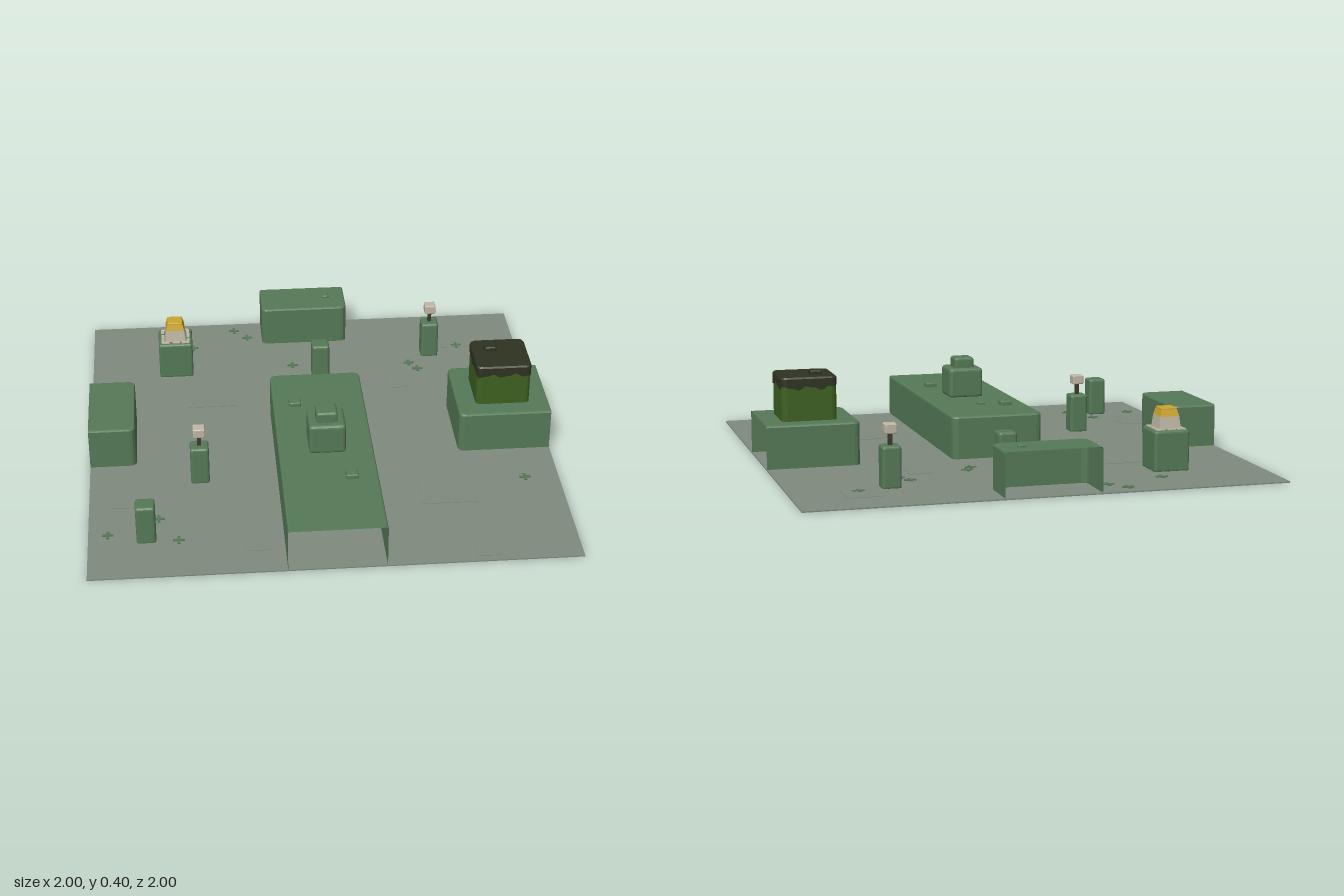
import * as THREE from 'three';
import { RoundedBoxGeometry } from 'three/addons/geometries/RoundedBoxGeometry.js';

const paint = (name, color) => {
  const m = new THREE.MeshStandardMaterial({ color, flatShading: true, side: THREE.DoubleSide });
  m.name = name;
  return m;
};

// Plan outline, counter-clockwise from above; an open outline has no wall at +z
function outline(w, d, r, inset = 0, open = false) {
  const hx = w / 2 - inset, hz = d / 2 - inset, pts = [];
  const corner = (sx, sz, start) => {
    for (let i = 0; i <= 3; i++) {
      const a = start + (i / 3) * Math.PI / 2;
      pts.push([sx * (hx - r) + r * Math.cos(a), sz * (hz - r) - r * Math.sin(a)]);
    }
  };
  if (open) pts.push([hx, d / 2]);
  corner(1, -1, 0);
  corner(-1, -1, Math.PI / 2);
  if (open) pts.push([-hx, d / 2]);
  else {
    corner(-1, 1, Math.PI);
    corner(1, 1, Math.PI * 1.5);
    pts.push(pts[0]);
  }
  return pts;
}

// Adds points along the straight sides
function subdivide(pts, step) {
  const out = [];
  for (let i = 0; i < pts.length - 1; i++) {
    const [a, b] = [pts[i], pts[i + 1]];
    const n = Math.max(1, Math.round(Math.hypot(b[0] - a[0], b[1] - a[1]) / step));
    for (let k = 0; k < n; k++) out.push([a[0] + (b[0] - a[0]) * k / n, a[1] + (b[1] - a[1]) * k / n]);
  }
  out.push(pts[pts.length - 1]);
  return out;
}

// Walls through the rings, with a flat cap on the last one
function shell(rings) {
  const v = [], last = rings[rings.length - 1];
  for (let k = 0; k < rings.length - 1; k++) {
    for (let i = 0; i < last.length - 1; i++) {
      const a = rings[k][i], b = rings[k][i + 1], c = rings[k + 1][i + 1], d = rings[k + 1][i];
      v.push(...a, ...b, ...c, ...a, ...c, ...d);
    }
  }
  const mid = [0, last[0][1], 0];
  last.forEach((p, i) => v.push(...mid, ...p, ...last[(i + 1) % last.length]));
  const g = new THREE.BufferGeometry();
  g.setAttribute('position', new THREE.Float32BufferAttribute(v, 3));
  g.computeVertexNormals();
  return g;
}
const atHeight = (pts, y) => pts.map(([x, z]) => [x, y, z]);

export function createModel() {
  const model = new THREE.Group();
  const stone = paint('ground grey', 0x7f8a7d);
  const green = paint('block green', 0x557a57);
  const moss = paint('moss green', 0x3e6121);
  const dark = paint('dark olive', 0x2e3322);
  const pale = paint('pale stone', 0xc0b8a6);
  const yellow = paint('yellow', 0xc9a62c);
  const brown = paint('stem brown', 0x40382c);

  const add = (name, geo, mat, x, y, z, parent = model) => {
    const m = new THREE.Mesh(geo, mat);
    m.name = name;
    m.position.set(x, y, z);
    parent.add(m);
    return m;
  };
  // Soft-edged box standing on y
  const block = (name, mat, x, y, z, w, h, d = w, r = 0.01, parent = model) =>
    add(name, new RoundedBoxGeometry(w, h, d, 2, Math.min(r, h * 0.4)), mat, x, y + h / 2, z, parent);
  // Square tapered block standing on y
  const taper = (name, mat, x, y, z, bottom, top, h) => {
    const g = new THREE.CylinderGeometry(top / Math.SQRT2, bottom / Math.SQRT2, h, 4);
    g.rotateY(Math.PI / 4);
    return add(name, g, mat, x, y + h / 2, z);
  };

  // Ground and its faint paving slabs
  const ground = new THREE.PlaneGeometry(2, 2);
  ground.rotateX(-Math.PI / 2);
  add('ground', ground, stone, 0, 0.006, 0);
  for (const [x, z, s] of [[0.51, 0.47, 0.24], [-0.46, -0.36, 0.22], [0.62, 0.92, 0.1],
    [-0.85, 0.46, 0.12], [0.72, -0.76, 0.14], [-0.3, 0.8, 0.12], [0.4, -0.4, 0.1]]) {
    add('pavingSlab', new THREE.BoxGeometry(s, 0.004, s), stone, x, 0.006, z);
  }

  // Hollow wall blocks, open underneath and at the ground's rim
  for (const [name, x, z, w, d, turn] of [
    ['frontWall', 0, 0.4, 0.4, 1.2, 0], ['backWall', 0, -0.9, 0.4, 0.2, Math.PI],
    ['leftWall', 0.8, 0, 0.4, 0.4, Math.PI / 2], ['rightWall', -0.9, 0, 0.4, 0.2, -Math.PI / 2],
  ]) {
    const ring = (inset, y) => atHeight(outline(w, d, 0.025, inset, true), y);
    const g = shell([ring(0, 0.006), ring(0, 0.182), ring(0.003, 0.188), ring(0.009, 0.19)]);
    add(name, g, green, x, 0, z).rotation.y = turn;
  }

  // Turret and studs on the walls
  block('turretBase', green, 0.005, 0.185, 0.37, 0.155, 0.135, 0.155, 0.015);
  block('turretTop', green, 0.005, 0.31, 0.37, 0.09, 0.055, 0.09, 0.012);
  for (const [x, z, s] of [[-0.105, 0.05, 0.05], [-0.005, 0.095, 0.032], [0.09, 0.625, 0.05], [0.11, -0.91, 0.03]]) {
    block('stud', green, x, 0.18, z, s, s > 0.04 ? 0.03 : 0.022, s, 0.006);
  }

  // Mossy cube with a dark cover and ragged lower edge
  const cube = new THREE.Group();
  cube.name = 'mossyCube';
  cube.position.set(0.8, 0, 0);
  model.add(cube);
  const side = outline(0.236, 0.236, 0.022);
  add('cubeBody', shell([atHeight(side, 0.19), atHeight(side, 0.36)]), moss, 0, 0, 0, cube);
  const cover = (inset, y) => atHeight(subdivide(outline(0.24, 0.24, 0.022, inset), 0.012), y);
  const hem = cover(0, 0.33).map(([x, y, z]) =>
    [x, y + 0.007 * Math.sin(x * 62 + z * 41) + 0.004 * Math.sin(x * 131 - z * 97), z]);
  // Matching point counts let the hem join the rounded top
  const scaled = (s, y) => hem.map(([x, , z]) => [x * s, y, z * s]);
  add('cubeCover', shell([hem, scaled(1, 0.369), scaled(0.96, 0.376)]), dark, 0, 0, 0, cube);
  block('cubeStud', dark, -0.04, 0.365, -0.04, 0.052, 0.032, 0.052, 0.008, cube);

  // Posts
  const post = (x, z, s) => block('post', green, x, 0, z, s, 0.177, s, 0.012);
  post(-0.762, 0.735, 0.08);
  post(0.052, -0.495, 0.08);
  for (const [x, z] of [[-0.53, 0.32], [0.58, -0.66]]) {
    post(x, z, 0.08);
    add('lampStem', new THREE.BoxGeometry(0.016, 0.06, 0.016), brown, x, 0.2, z);
    block('lampHead', pale, x, 0.224, z, 0.05, 0.041, 0.05, 0.005);
  }

  // Beacon on the wide post, with a broken pale border around its foot
  const bx = -0.613, bz = -0.605;
  post(bx, bz, 0.155);
  taper('beaconBase', pale, bx, 0.174, bz, 0.096, 0.084, 0.056);
  taper('beaconLight', yellow, bx, 0.23, bz, 0.084, 0.068, 0.029);
  add('beaconTop', new RoundedBoxGeometry(0.068, 0.012, 0.068, 2, 0.004), yellow, bx, 0.26, bz);
  for (let k = 0; k < 4; k++) {
    const edge = new THREE.Group();
    edge.name = 'beaconBorder';
    edge.position.set(bx, 0.178, bz);
    edge.rotation.y = k * Math.PI / 2;
    model.add(edge);
    for (const x of [-0.044, 0.003, 0.044]) {
      add('borderDash', new THREE.BoxGeometry(0.034, 0.006, 0.014), pale, x, 0, 0.058, edge);
    }
  }

  // Cross-shaped tufts on the ground
  for (const [x, z] of [[-0.33, -0.93], [-0.27, -0.86], [-0.53, -0.78], [-0.07, -0.585], [0.2, -0.43],
    [0.17, -0.38], [0.72, -0.71], [0.475, -0.565], [0.51, -0.51], [0.855, 0.425],
    [-0.71, 0.61], [-0.63, 0.765], [-0.92, 0.71]]) {
    for (const [w, d] of [[0.048, 0.012], [0.012, 0.048]]) {
      add('tuft', new THREE.BoxGeometry(w, 0.006, d), green, x, 0.008, z);
    }
  }
  // Ground detail rests at the lowest level
  add('groundUnderside', new THREE.BoxGeometry(2, 0.005, 2), stone, 0, 0.0025, 0);
  return model;
}
